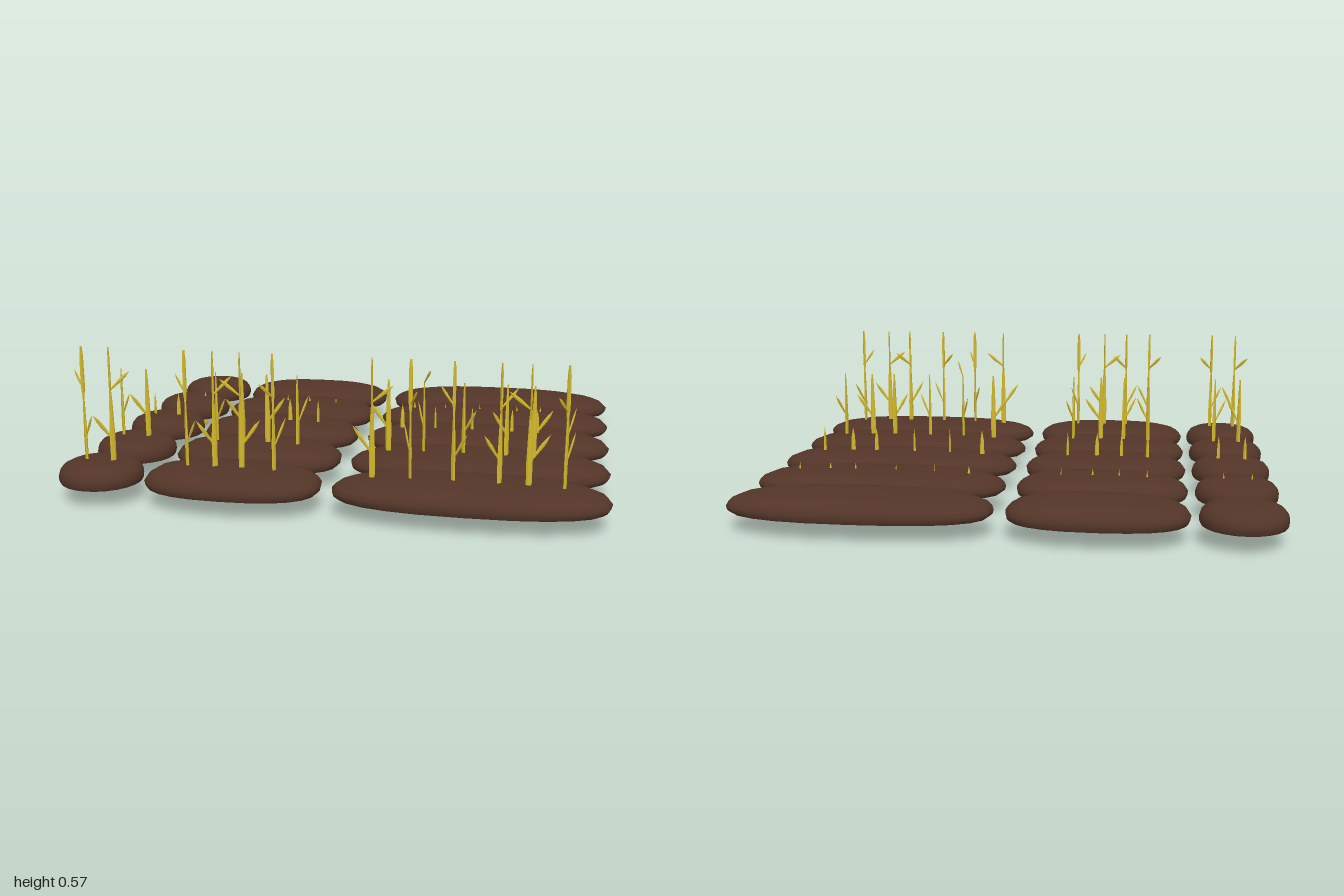
import * as THREE from 'three';

const soil = new THREE.MeshStandardMaterial({ color: 0x533528 });
const straw = new THREE.MeshStandardMaterial({ color: 0xd2b82a, flatShading: true, side: THREE.DoubleSide });

// Soil mound: superellipse rings stacked along a domed profile, flat underneath
function moundGeometry(a, c, power) {
  const levels = [
    [0.078, 0], [0.078, 0.96], [0.078, 0.96], [0.088, 0.99], [0.104, 1],
    [0.122, 0.965], [0.138, 0.88], [0.149, 0.73], [0.155, 0.45], [0.157, 0],
  ];
  const n = 24, pos = [], index = [];
  const bend = (v) => Math.sign(v) * Math.abs(v) ** (2 / power);
  for (const [y, s] of levels) {
    for (let i = 0; i < n; i++) {
      const t = (i / n) * Math.PI * 2;
      pos.push(a * s * bend(Math.cos(t)), y, c * s * bend(Math.sin(t)));
    }
  }
  for (let r = 0; r < levels.length - 1; r++) {
    if (r === 1) continue; // doubled ring keeps the bottom edge sharp
    for (let i = 0; i < n; i++) {
      const p = r * n + i, q = r * n + (i + 1) % n;
      index.push(p, p + n, q, q, p + n, q + n);
    }
  }
  const g = new THREE.BufferGeometry();
  g.setAttribute('position', new THREE.Float32BufferAttribute(pos, 3));
  g.setIndex(index);
  g.computeVertexNormals();
  return g;
}

// Flattened, faceted stalk piece; profile points are [half width, y]
function blade(name, profile) {
  const g = new THREE.LatheGeometry(profile.map(([r, y]) => new THREE.Vector2(r, y)), 6);
  g.rotateY(Math.PI / 2);
  g.scale(1, 1, 0.45);
  const m = new THREE.Mesh(g, straw);
  m.name = name;
  return m;
}

// Leaf pointing outward along x (dir = 1 or -1) and upward
function leaf(name, dir, y0, reach, rise) {
  const len = Math.hypot(reach, rise);
  const m = blade(name, [[0.003, 0], [0.007, len * 0.55], [0.006, len * 0.75], [0, len]]);
  m.position.y = y0;
  m.rotation.z = -dir * Math.atan2(reach, rise);
  return m;
}

// Stages: 1 seedling, 2 sprout, 3 half grown, 4 mature
function plant(stage, drop, extraLeaf) {
  const g = new THREE.Group();
  g.name = 'plant';
  if (stage <= 2) {
    const base = stage === 1 ? 0.01 + drop : 0.05, top = stage === 1 ? 0.18 : 0.25;
    g.add(blade('sprout', [[0, base], [0.009, base + 0.012], [0.011, base + 0.06], [0.007, top - 0.04], [0, top]]));
    return g;
  }
  g.add(blade('lowerStalk', [[0, 0.1], [0.01, 0.12], [0.011, 0.24], [0.006, 0.38], [0.003, 0.425]]));
  g.add(leaf('lowerLeaf', 1, 0.235, 0.07, 0.1));
  if (stage === 4) {
    const tip = blade('upperStalk', [[0.003, 0.38], [0.008, 0.43], [0.007, 0.54], [0.004, 0.577], [0, 0.577]]);
    tip.rotation.y = Math.PI / 2;
    g.add(tip);
  }
  if (stage === 4 || extraLeaf) g.add(leaf('upperLeaf', -1, 0.42, 0.075, 0.062));
  return g;
}

export function createModel() {
  const model = new THREE.Group();
  model.name = 'cropField';

  // Lower leaf directions [x, z] that repeat from bed to bed
  const A = [0.055, 0.05], B = [-0.055, 0.05], C = [0.07, -0.01];
  const D = [0.03, -0.065], E = [-0.07, 0], F = [-0.03, -0.06];
  const columns = [
    { x: -0.845, a: 0.155, c: 0.153, power: 2, plants: [[-0.9, A], [-0.795, B]] },
    { x: -0.34, a: 0.325, c: 0.168, power: 2.5, plants: [[-0.51, A], [-0.405, B], [-0.305, C], [-0.185, D]] },
    {
      x: 0.513, a: 0.487, c: 0.168, power: 2.5,
      plants: [[0.17, E], [0.305, F], [0.455, A], [0.615, B], [0.715, C], [0.837, D]],
    },
  ];

  // Five rows from bare soil at the back to mature crop at the front
  for (const { x, a, c, power, plants } of columns) {
    const geometry = moundGeometry(a, c, power);
    for (let stage = 0; stage < 5; stage++) {
      const bed = new THREE.Group();
      bed.name = 'bed';
      bed.position.z = (stage - 2) * 0.34;
      const mound = new THREE.Mesh(geometry, soil);
      mound.name = 'soilMound';
      mound.position.x = x;
      bed.add(mound);
      if (stage > 0) {
        plants.forEach(([px, dir], i) => {
          const p = plant(stage, (i % 3) * 0.008, dir === F);
          p.position.x = px;
          p.rotation.y = Math.atan2(-dir[1], dir[0]);
          bed.add(p);
        });
      }
      model.add(bed);
    }
  }
  // Stand the lowest root tips on the ground
  model.position.y = -0.01;
  return model;
}
